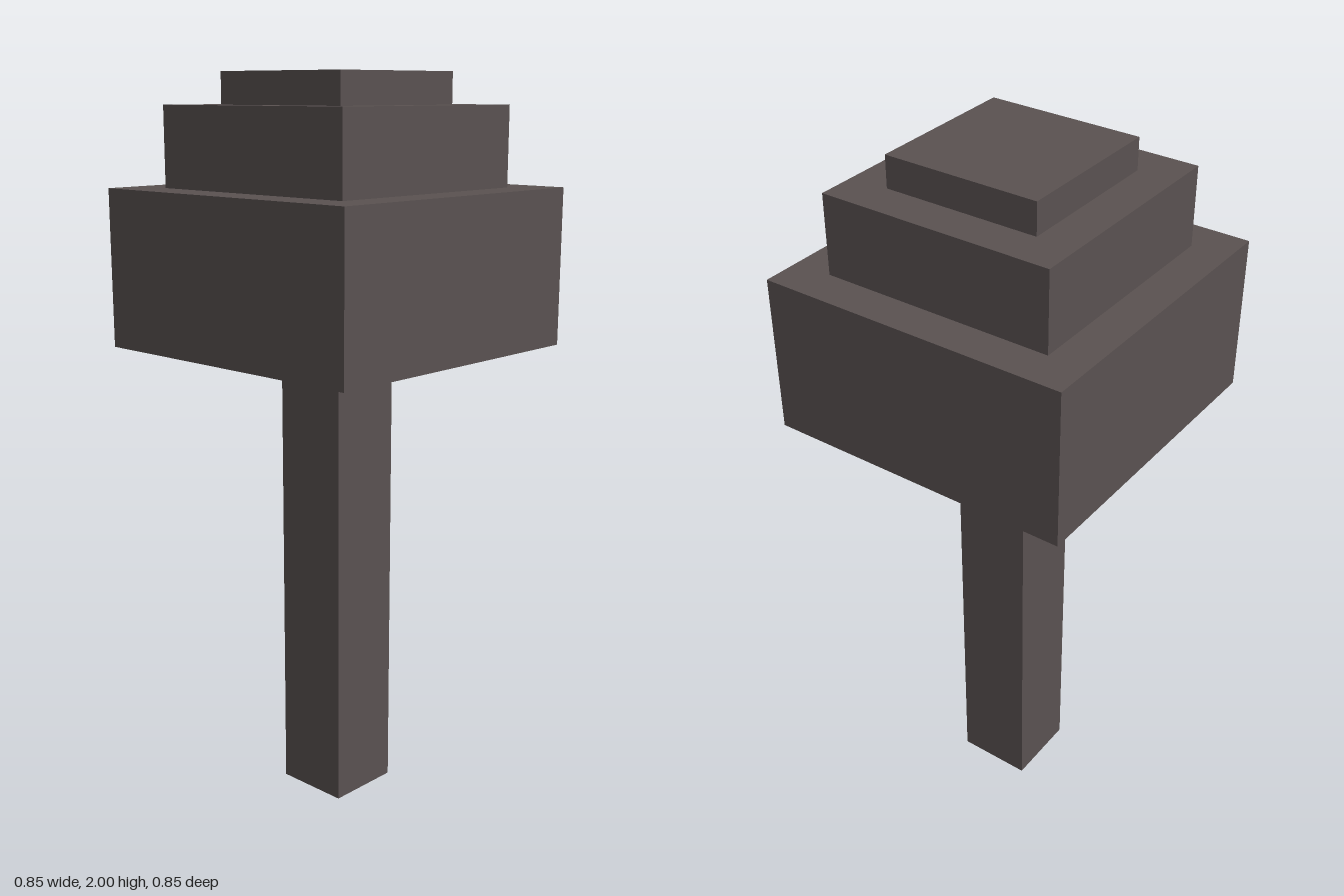
import * as THREE from 'three';

export function createModel() {
  const model = new THREE.Group();
  model.name = 'blockTree';

  const bark = new THREE.MeshStandardMaterial({ color: 0x5a5251 });
  bark.name = 'dark grey brown';

  // Square block of the given width, spanning two heights
  const addBlock = (name, width, bottom, top) => {
    const mesh = new THREE.Mesh(new THREE.BoxGeometry(width, top - bottom, width), bark);
    mesh.name = name;
    mesh.position.y = (bottom + top) / 2;
    model.add(mesh);
  };

  // Trunk, then the stepped crown from widest to narrowest
  addBlock('trunk', 0.212, 0, 1.28);
  addBlock('lowerCrown', 0.85, 1.28, 1.703);
  addBlock('middleCrown', 0.638, 1.703, 1.916);
  addBlock('topCrown', 0.425, 1.916, 2);

  return model;
}
